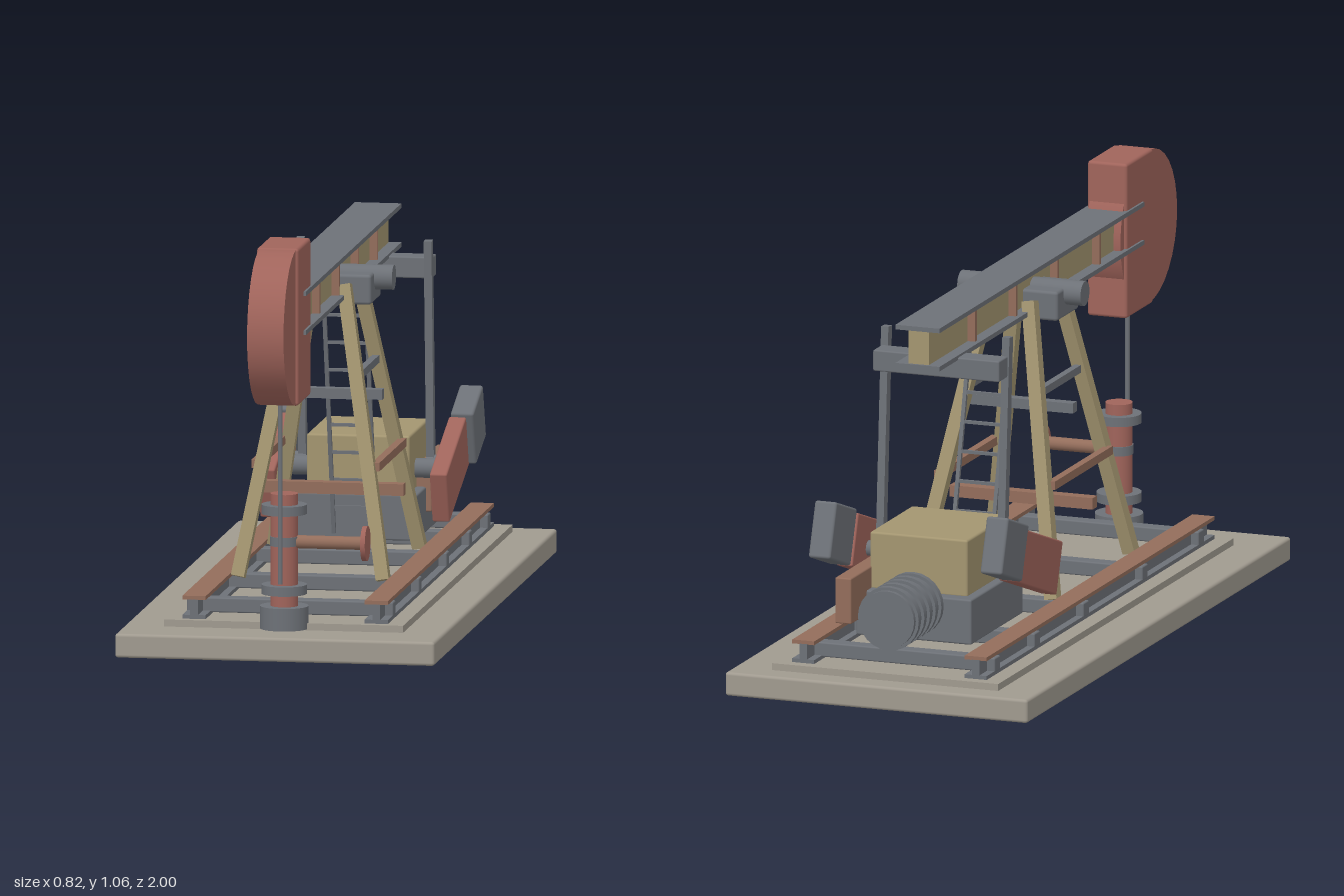
import * as THREE from 'three';
import { RoundedBoxGeometry } from 'three/addons/geometries/RoundedBoxGeometry.js';

const mat = (name, color) => Object.assign(new THREE.MeshStandardMaterial({ color }), { name });

export function createModel() {
  const red = mat('red paint', 0xa0645b);
  const brown = mat('rust brown', 0x936d5b);
  const tan = mat('tan paint', 0xa39570);
  const steel = mat('steel grey', 0x6d7177);
  const concrete = mat('concrete', 0xa09a8f);

  const model = new THREE.Group();
  model.name = 'pumpJack';

  const add = (name, geometry, material, x = 0, y = 0, z = 0) => {
    const mesh = new THREE.Mesh(geometry, material);
    mesh.name = name;
    mesh.position.set(x, y, z);
    model.add(mesh);
    return mesh;
  };
  // Box given by its [min, max] extent on each axis, optionally with bevelled edges
  const box = (name, material, [x0, x1], [y0, y1], [z0, z1], bevel = 0) => {
    const size = [x1 - x0, y1 - y0, z1 - z0];
    const geometry = bevel
      ? new RoundedBoxGeometry(...size, 2, bevel)
      : new THREE.BoxGeometry(...size);
    return add(name, geometry, material, (x0 + x1) / 2, (y0 + y1) / 2, (z0 + z1) / 2);
  };
  // Cylinder centred at a point, along the given axis
  const cyl = (name, material, radius, length, axis, x, y, z, sides = 24) => {
    const geometry = new THREE.CylinderGeometry(radius, radius, length, sides);
    if (axis === 'x') geometry.rotateZ(Math.PI / 2);
    if (axis === 'z') geometry.rotateX(Math.PI / 2);
    return add(name, geometry, material, x, y, z);
  };
  // Square bar running between two points
  const bar = (name, material, from, to, width, depth = width) => {
    const a = new THREE.Vector3(...from);
    const b = new THREE.Vector3(...to);
    const dir = b.clone().sub(a);
    const mid = a.clone().add(b).multiplyScalar(0.5);
    const mesh = add(name, new THREE.BoxGeometry(width, dir.length(), depth), material, mid.x, mid.y, mid.z);
    mesh.quaternion.setFromUnitVectors(new THREE.Vector3(0, 1, 0), dir.normalize());
    return mesh;
  };
  const around = (c, half) => [c - half, c + half];

  // Concrete foundation
  box('foundation', concrete, [-0.412, 0.412], [0, 0.062], [-1, 0.86], 0.008);
  box('foundationPad', concrete, [-0.308, 0.308], [0.062, 0.08], [-0.935, 0.722]);

  // Skid: two I-section rails joined by cross members
  for (const s of [-1, 1]) {
    const x = s * 0.235;
    box('railBottomFlange', steel, around(x, 0.03), [0.08, 0.09], [-0.905, 0.7]);
    box('railWeb', steel, around(x, 0.01), [0.09, 0.13], [-0.905, 0.7]);
    box('railTopFlange', brown, around(x, 0.03), [0.129, 0.139], [-0.905, 0.7]);
  }
  for (const z of [0.605, 0.21, -0.205, -0.55, -0.83]) {
    box('skidCrossMember', steel, [-0.266, 0.266], [0.086, 0.124], around(z, 0.02), 0.004);
  }

  // Support tower: four leaning legs with braces
  for (const s of [-1, 1]) {
    for (const t of [-1, 1]) {
      bar('towerLeg', tan, [s * 0.187, 0.13, 0.037 + t * 0.275], [s * 0.057, 0.86, 0.037 + t * 0.1], 0.034);
    }
    box('lowerSideBrace', brown, around(s * 0.155, 0.01), [0.398, 0.42], [-0.165, 0.242]);
    box('upperSideBrace', steel, around(s * 0.1, 0.009), [0.625, 0.645], [-0.086, 0.162]);
  }
  box('lowerCrossBar', brown, [-0.195, 0.195], [0.306, 0.336], [0.022, 0.054]);
  box('upperCrossBar', steel, [-0.14, 0.14], [0.552, 0.578], [0.025, 0.053]);

  // Saddle bearing carrying the walking beam
  box('saddleBearing', steel, [-0.122, 0.122], [0.805, 0.882], [-0.037, 0.115], 0.008);
  cyl('saddleShaft', steel, 0.032, 0.336, 'x', 0, 0.866, 0.038);

  // Walking beam
  box('beamWeb', tan, [-0.028, 0.028], [0.836, 0.925], [-0.7, 0.72]);
  for (const y of [0.83, 0.93]) {
    box('beamFlange', steel, [-0.06, 0.06], around(y, 0.006), [-0.708, 0.735]);
  }
  for (const z of [0.455, 0.16, -0.132, -0.42]) {
    box('beamStiffener', brown, [-0.048, 0.048], [0.836, 0.924], around(z, 0.006));
  }

  // Horse head: a rounded nose on a bevelled block
  cyl('horseHeadNose', red, 0.2, 0.094, 'x', 0, 0.855, 0.8, 32);
  box('horseHeadBlock', red, [-0.054, 0.054], [0.653, 1.058], [0.627, 0.815], 0.008);

  // Equalizer and pitman arms
  box('equalizer', steel, [-0.172, 0.172], [0.775, 0.83], [-0.578, -0.516], 0.004);
  for (const s of [-1, 1]) {
    bar('pitmanArm', steel, [s * 0.165, 0.29, -0.538], [s * 0.165, 0.876, -0.499], 0.02, 0.026);
    cyl('pitmanPin', steel, 0.02, 0.06, 'x', s * 0.185, 0.3, -0.537, 16);
  }

  // Cranks with counterweights, tilted up toward the rear
  const tilt = 0.335;
  for (const s of [-1, 1]) {
    add('crank', new RoundedBoxGeometry(0.045, 0.138, 0.312, 2, 0.005), red, s * 0.222, 0.291, -0.482).rotation.x = tilt;
    add('counterweight', new RoundedBoxGeometry(0.06, 0.147, 0.157, 2, 0.007), steel, s * 0.234, 0.373, -0.699).rotation.x = tilt;
  }

  // Gearbox on its base, with crankshaft
  box('gearboxBase', steel, [-0.157, 0.157], [0.122, 0.24], [-0.735, -0.37], 0.005);
  box('gearbox', tan, [-0.133, 0.133], [0.236, 0.386], [-0.7, -0.405], 0.006);
  cyl('crankshaft', steel, 0.025, 0.4, 'x', 0, 0.29, -0.5);

  // Ribbed motor and belt guard
  cyl('motorBody', steel, 0.075, 0.2, 'z', 0, 0.218, -0.825);
  for (const z of [-0.745, -0.785, -0.825, -0.865, -0.905]) {
    cyl('motorRib', steel, 0.083, 0.016, 'z', 0, 0.218, z);
  }
  box('beltGuard', brown, [0.128, 0.172], [0.176, 0.296], [-0.845, -0.51], 0.004);

  // Ladder leaning behind the tower
  const ladderZ = (y) => -0.355 + ((y - 0.14) / 0.645) * 0.157;
  for (const s of [-1, 1]) {
    bar('ladderRail', steel, [s * 0.054, 0.14, ladderZ(0.14)], [s * 0.054, 0.785, ladderZ(0.785)], 0.01);
  }
  for (let i = 0; i < 8; i++) {
    const y = 0.21 + i * 0.0735;
    bar('ladderRung', steel, [-0.054, y, ladderZ(y)], [0.054, y, ladderZ(y)], 0.008);
  }

  // Wellhead, side outlet and polished rod
  const wz = 0.712;
  cyl('wellheadBase', steel, 0.062, 0.058, 'y', 0, 0.094, wz);
  cyl('wellheadPipe', red, 0.035, 0.29, 'y', 0, 0.267, wz);
  for (const y of [0.166, 0.29, 0.372]) {
    cyl('wellheadFlange', steel, y === 0.29 ? 0.037 : 0.058, 0.024, 'y', 0, y, wz);
  }
  cyl('outletPipe', brown, 0.017, 0.21, 'x', 0.105, 0.288, wz, 16);
  cyl('valveWheel', red, 0.045, 0.012, 'x', 0.209, 0.288, wz);
  cyl('polishedRod', steel, 0.006, 0.48, 'y', 0, 0.427, 0.772, 12);

  return model;
}
